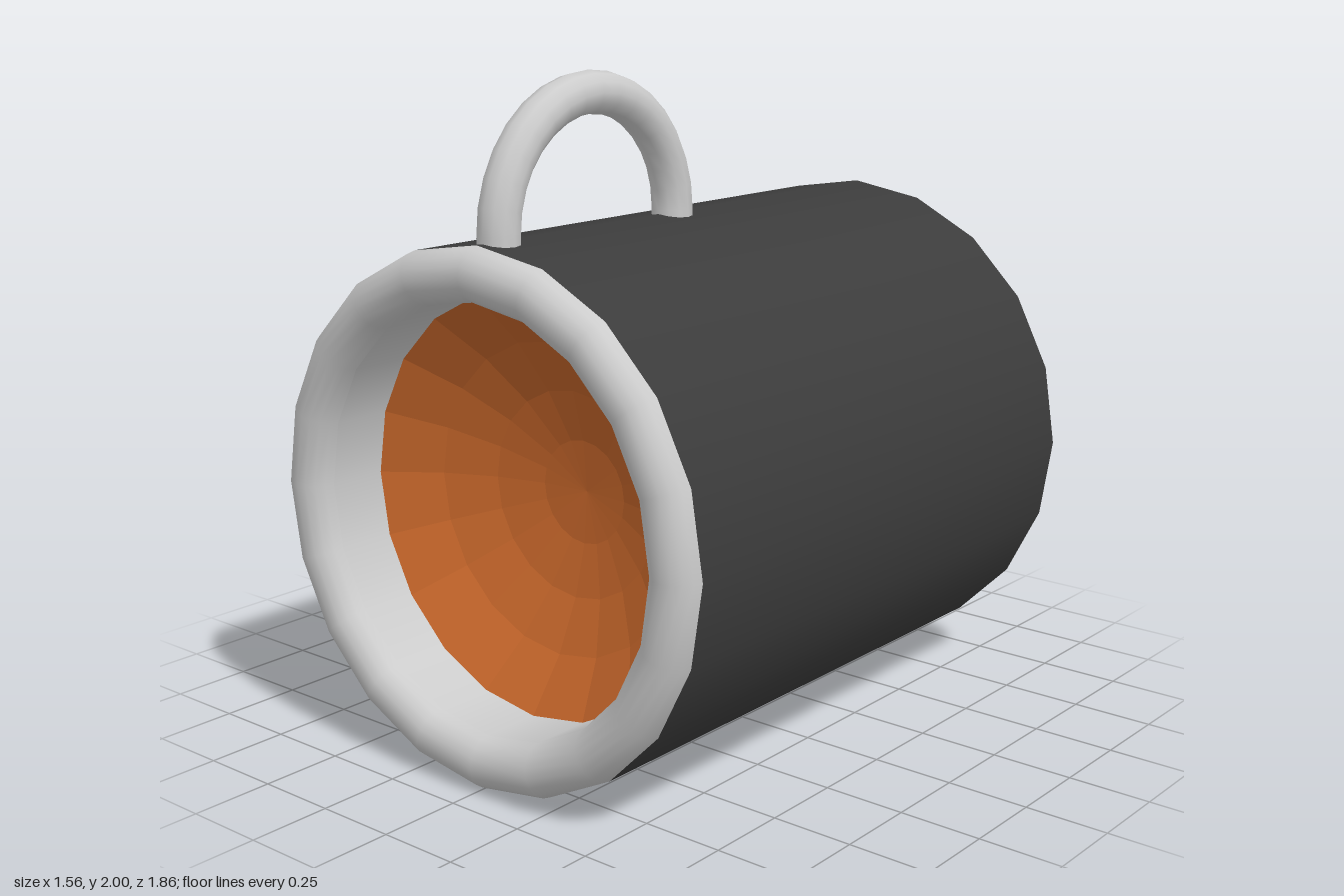
import * as THREE from 'three';

const SIDES = 20;
const AXIS_Y = 0.78;
const RADIUS = 0.78;

// Revolve a profile of [radius, z] points around the horizontal axis of the housing
function revolve(name, profile, material) {
  const points = profile.map(([r, z]) => new THREE.Vector2(r, z));
  const geometry = new THREE.LatheGeometry(points, SIDES);
  geometry.rotateX(Math.PI / 2);
  const mesh = new THREE.Mesh(geometry, material);
  mesh.name = name;
  mesh.position.y = AXIS_Y;
  return mesh;
}

export function createModel() {
  const model = new THREE.Group();
  model.name = 'canLight';

  const grey = new THREE.MeshStandardMaterial({ color: 0xcccccc });
  const dark = new THREE.MeshStandardMaterial({ color: 0x3c3c3c });
  const orange = new THREE.MeshStandardMaterial({ color: 0xc4652a, flatShading: true });

  // Dark cylindrical housing and its grey back plate
  model.add(revolve('housing', [[RADIUS, -0.93], [RADIUS, 0.855]], dark));
  model.add(revolve('backPlate', [[0, -0.93], [RADIUS, -0.93]], grey));

  // Rounded front rim: a half round from the outer edge over to the inner edge
  const rimProfile = [];
  const tube = 0.0775;
  for (let i = 0; i <= 8; i++) {
    const a = (i / 8) * Math.PI;
    rimProfile.push([RADIUS - tube + Math.cos(a) * tube, 0.855 + Math.sin(a) * 0.075]);
  }
  model.add(revolve('frontRim', rimProfile, grey));

  // Recessed wall between the rim and the reflector
  model.add(revolve('innerWall', [[0.625, 0.855], [0.625, 0.67]], grey));

  // Concave faceted reflector, a shallow spherical bowl
  const bowl = [];
  const bowlRadius = 0.93;
  for (let i = 4; i >= 0; i--) {
    const r = (0.625 * i) / 4;
    bowl.push([r, 0.43 + bowlRadius - Math.sqrt(bowlRadius ** 2 - r ** 2)]);
  }
  model.add(revolve('reflector', bowl, orange));

  // Arched carrying handle on top with two short legs
  const handle = new THREE.Group();
  handle.name = 'handle';
  handle.position.set(0, 1.572, 0.405);
  const arch = new THREE.Mesh(
    new THREE.TorusGeometry(0.366, 0.062, 12, 16, Math.PI).rotateY(Math.PI / 2), grey);
  arch.name = 'handleArch';
  handle.add(arch);
  for (const side of [1, -1]) {
    const leg = new THREE.Mesh(new THREE.CylinderGeometry(0.062, 0.062, 0.1, 12), grey);
    leg.name = side > 0 ? 'frontHandleLeg' : 'backHandleLeg';
    leg.position.set(0, -0.05, side * 0.366);
    handle.add(leg);
  }
  model.add(handle);

  return model;
}
